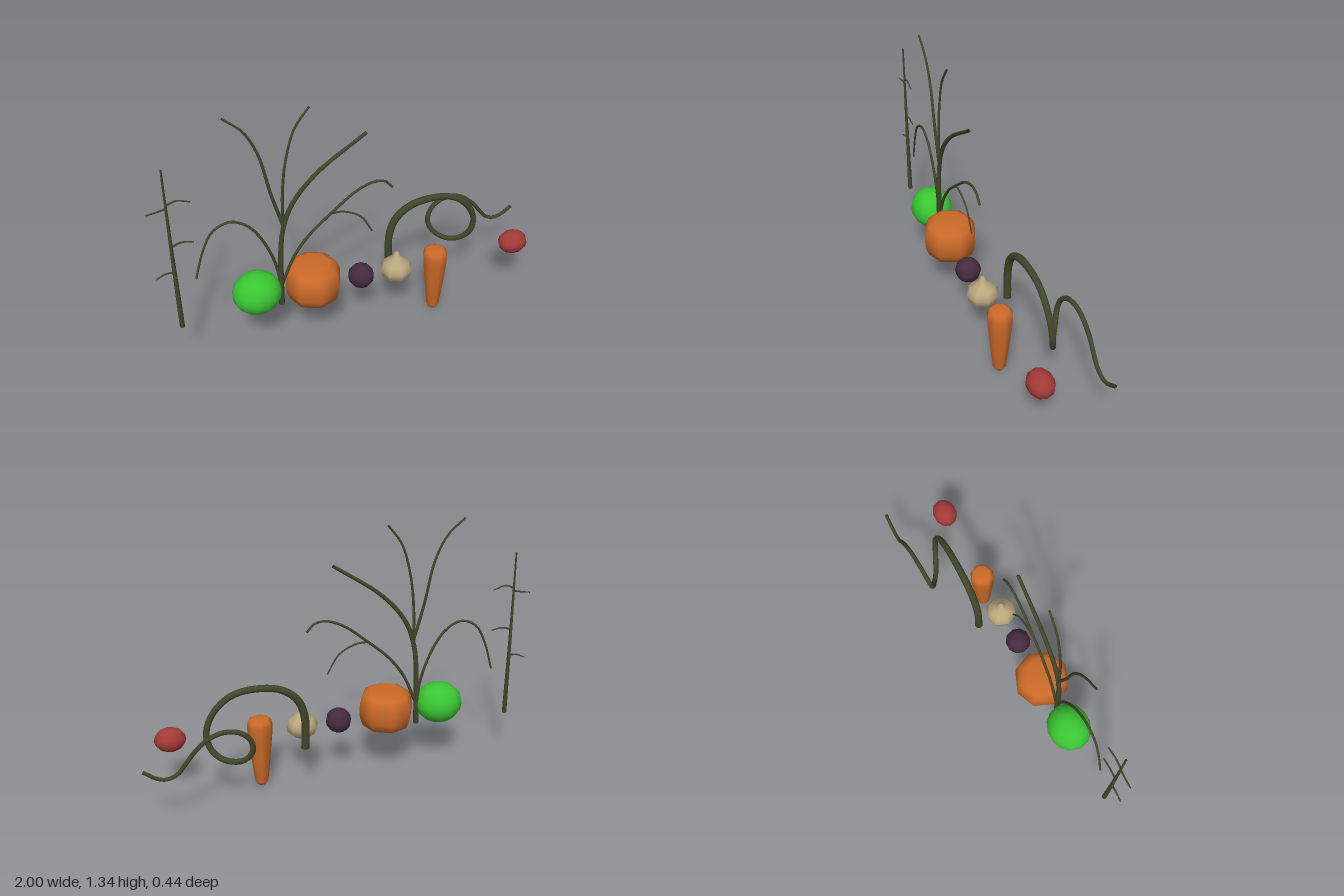
import * as THREE from 'three';

const mat = (name, color) => {
  const m = new THREE.MeshStandardMaterial({ color });
  m.name = name;
  return m;
};

export function createModel() {
  const group = new THREE.Group();
  const stemMat = mat('dark olive stem', 0x42462a);
  const greenMat = mat('bright green', 0x3ac733);
  const orangeMat = mat('orange', 0xcc6a28);
  const purpleMat = mat('dark purple', 0x452b40);
  const creamMat = mat('cream', 0xb9a87c);
  const redMat = mat('dull red', 0xa33a36);
  const Z = 0.08; // the row of vegetables and stalks

  const add = (name, geo, material, x = 0, y = 0, z = 0, parent = group) => {
    const mesh = new THREE.Mesh(geo, material);
    mesh.name = name;
    mesh.position.set(x, y, z);
    parent.add(mesh);
    return mesh;
  };

  // Tapered tube with closed ends along [x, y, z] points
  const stem = (name, pts, r0, r1, parent, segs = pts.length * 4, sides = 8) => {
    const curve = new THREE.CatmullRomCurve3(pts.map(([x, y, z = Z]) => new THREE.Vector3(x, y, z)));
    const geo = new THREE.TubeGeometry(curve, segs, 1, sides);
    const pos = geo.attributes.position, v = new THREE.Vector3();
    for (let i = 0; i <= segs; i++) {
      const c = curve.getPointAt(i / segs);
      const end = i === 0 || i === segs;
      const shown = i === 1 ? curve.getPointAt(0) : i === segs - 1 ? curve.getPointAt(1) : c;
      const r = end ? 0 : r0 + (r1 - r0) * (i / segs);
      for (let j = 0; j <= sides; j++) {
        const k = i * (sides + 1) + j;
        v.fromBufferAttribute(pos, k).sub(c).multiplyScalar(r).add(shown);
        pos.setXYZ(k, v.x, v.y, v.z);
      }
    }
    return add(name, geo, stemMat, 0, 0, 0, parent);
  };

  const ball = (name, material, x, y, rx, ry, rz, w, h) => {
    const geo = new THREE.SphereGeometry(1, w, h).scale(rx, ry, rz);
    add(name, geo, material, x, y, Z);
  };
  const lathe = (name, material, x, profile) => {
    const pts = profile.map(([r, y]) => new THREE.Vector2(r, y));
    add(name, new THREE.LatheGeometry(pts, 8), material, x, 0, Z);
  };

  // Round vegetables
  ball('greenCabbage', greenMat, -0.535, 0.365, 0.122, 0.108, 0.11, 14, 10);
  ball('purpleBeet', purpleMat, 0, 0.323, 0.066, 0.065, 0.066, 10, 8);
  ball('redRadish', redMat, 0.85, 0.32, 0.079, 0.062, 0.065, 10, 8);

  // Turned vegetables
  lathe('pumpkin', orangeMat, -0.25, [[0, 0.26], [0.085, 0.26], [0.122, 0.278], [0.137, 0.32],
    [0.14, 0.365], [0.137, 0.405], [0.122, 0.447], [0.085, 0.465], [0, 0.465]]);
  lathe('garlicBulb', creamMat, 0.19, [[0, 0.26], [0.045, 0.263], [0.074, 0.288], [0.082, 0.325],
    [0.066, 0.355], [0.035, 0.378], [0.018, 0.4], [0.01, 0.42], [0, 0.422]]);
  lathe('carrot', orangeMat, 0.405, [[0, 0.003], [0.022, 0.007], [0.034, 0.028], [0.048, 0.15],
    [0.062, 0.29], [0.065, 0.345], [0.059, 0.372], [0.045, 0.381], [0, 0.382]]);

  // Thin upright stalk with small twigs
  const stalk = new THREE.Group();
  stalk.name = 'thinStalk';
  group.add(stalk);
  stem('stalkStem', [[-0.91, 0.258], [-0.91, 0.7], [-0.907, 1.145]], 0.013, 0.004, stalk, 16);
  [
    [[-0.91, 0.945], [-0.95, 0.937], [-0.997, 0.93]],
    [[-0.91, 0.96], [-0.86, 0.977], [-0.8, 0.957]],
    [[-0.91, 0.735], [-0.86, 0.75], [-0.805, 0.74]],
    [[-0.91, 0.592], [-0.955, 0.59], [-0.997, 0.57]],
  ].forEach((p, i) => stem('stalkTwig' + (i + 1), p, 0.005, 0.003, stalk, 10, 6));

  // Large branching plant
  const plant = new THREE.Group();
  plant.name = 'branchingPlant';
  group.add(plant);
  stem('plantTrunk', [[-0.415, 0.258], [-0.41, 0.475], [-0.393, 0.687], [-0.34, 0.837],
    [-0.217, 0.98], [0.025, 1.147]], 0.015, 0.008, plant);
  stem('upperLeftBranch', [[-0.388, 0.73], [-0.436, 0.912], [-0.484, 1.136], [-0.543, 1.26],
    [-0.628, 1.34]], 0.009, 0.005, plant);
  stem('upperMiddleBranch', [[-0.388, 0.725], [-0.382, 0.912], [-0.361, 1.072], [-0.313, 1.233],
    [-0.243, 1.327]], 0.008, 0.005, plant);
  stem('leftArchBranch', [[-0.414, 0.377], [-0.436, 0.52], [-0.5, 0.687], [-0.564, 0.773],
    [-0.639, 0.808], [-0.719, 0.773], [-0.773, 0.671], [-0.816, 0.527]], 0.008, 0.005, plant);
  stem('rightArchBranch', [[-0.404, 0.388], [-0.34, 0.537], [-0.26, 0.644], [-0.152, 0.74],
    [-0.019, 0.842], [0.072, 0.872], [0.126, 0.858], [0.158, 0.821]], 0.008, 0.006, plant);
  stem('rightSideTwig', [[-0.16, 0.74], [-0.088, 0.735], [-0.003, 0.687], [0.056, 0.586]],
    0.005, 0.004, plant);

  // Looping vine behind the vegetables
  stem('loopingVine', [
    [0.2, 0.258, -0.05], [0.2, 0.43, -0.05], [0.233, 0.527, -0.05], [0.313, 0.591, -0.05],
    [0.436, 0.61, -0.05], [0.543, 0.591, -0.05], [0.623, 0.532, -0.05], [0.671, 0.452, -0.053],
    [0.682, 0.388, -0.058], [0.666, 0.324, -0.07], [0.623, 0.281, -0.093], [0.57, 0.27, -0.12],
    [0.516, 0.291, -0.155], [0.479, 0.345, -0.18], [0.479, 0.398, -0.19], [0.505, 0.441, -0.197],
    [0.553, 0.473, -0.202], [0.618, 0.479, -0.206], [0.682, 0.457, -0.208], [0.746, 0.404, -0.21],
    [0.789, 0.35, -0.21], [0.837, 0.291, -0.211], [0.89, 0.27, -0.211], [0.933, 0.281, -0.211],
    [0.992, 0.322, -0.211],
  ], 0.021, 0.009, group, 72);

  return group;
}
